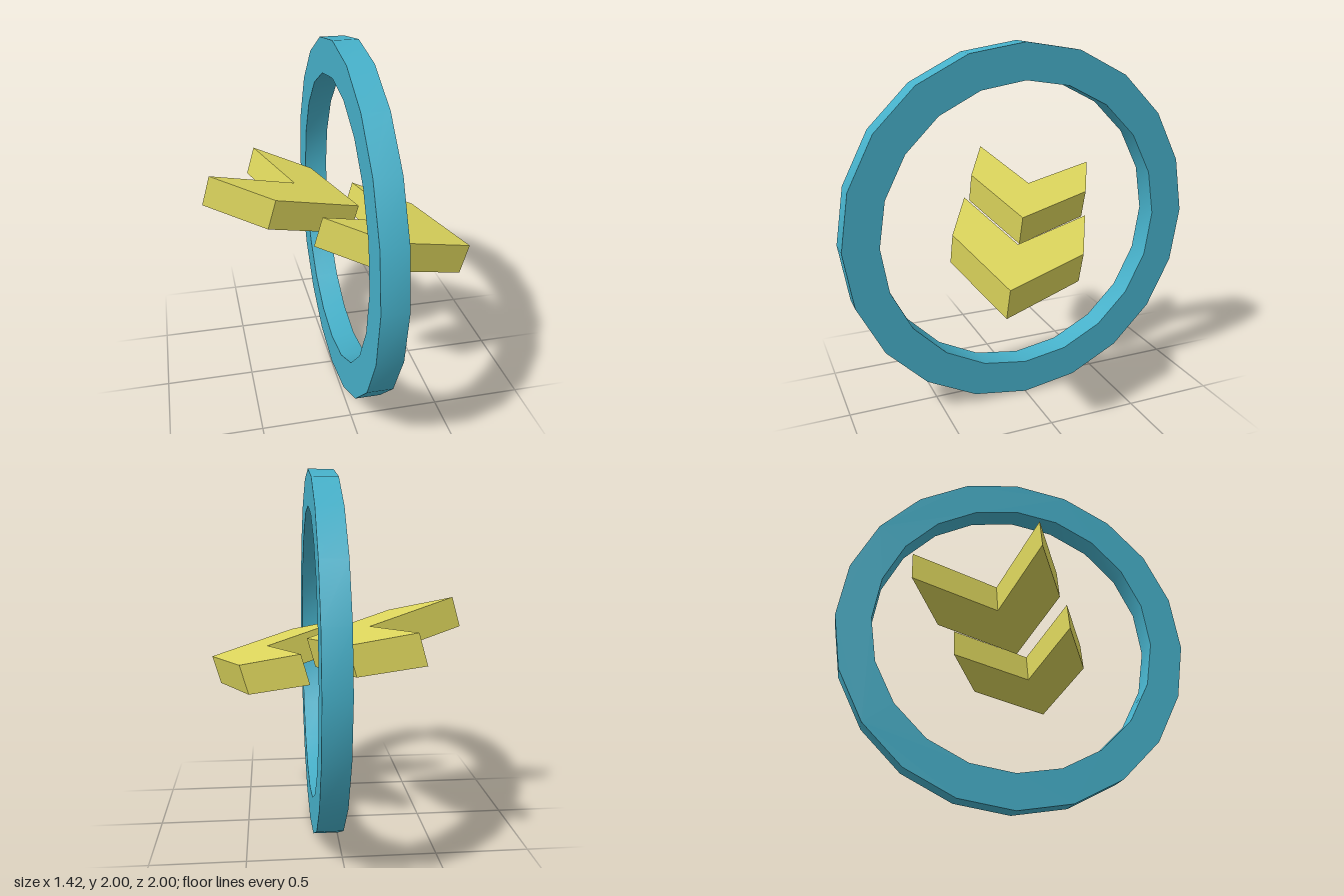
import * as THREE from 'three';
import { toCreasedNormals } from 'three/addons/utils/BufferGeometryUtils.js';

const SIDES = 20;

// Regular polygon outline with a corner at the top
function polygon(radius) {
  return Array.from({ length: SIDES }, (_, i) => {
    const a = (i / SIDES) * Math.PI * 2;
    return new THREE.Vector2(Math.cos(a) * radius, Math.sin(a) * radius);
  });
}

export function createModel() {
  const model = new THREE.Group();
  const blue = new THREE.MeshStandardMaterial({ color: 0x46b0c9 });
  const yellow = new THREE.MeshStandardMaterial({ color: 0xdcd55c, flatShading: true });

  // Upright ring, facing sideways
  const ringShape = new THREE.Shape(polygon(1));
  ringShape.holes.push(new THREE.Path(polygon(0.807)));
  const ringGeometry = new THREE.ExtrudeGeometry(ringShape, { depth: 0.138, bevelEnabled: false });
  ringGeometry.rotateY(Math.PI / 2);
  const ring = new THREE.Mesh(toCreasedNormals(ringGeometry, 0.6), blue);
  ring.name = 'ring';
  ring.position.set(0.002, 1, 0);
  model.add(ring);

  // Two matching chevrons lying on one tilted plane
  const tilt = 0.278;
  const thickness = 0.172;
  const outline = [
    [0.2, -0.33], [0.525, -0.153], [0.705, 0.325],
    [0.222, 0.447], [-0.108, 0.268], [0.372, 0.146],
  ].map(([x, z]) => new THREE.Vector2(x / Math.cos(tilt), -z));
  const chevronGeometry = new THREE.ExtrudeGeometry(new THREE.Shape(outline), {
    depth: thickness, bevelEnabled: false,
  });
  chevronGeometry.rotateX(-Math.PI / 2).translate(0, -thickness, 0);

  const chevrons = new THREE.Group();
  chevrons.name = 'chevrons';
  chevrons.position.y = 1.116;
  chevrons.rotation.z = -tilt;
  [['frontChevron', 0, 0], ['backChevron', -0.577, -0.301]].forEach(([name, x, z]) => {
    const chevron = new THREE.Mesh(chevronGeometry, yellow);
    chevron.name = name;
    chevron.position.set(x, 0, z);
    chevrons.add(chevron);
  });
  model.add(chevrons);

  return model;
}
